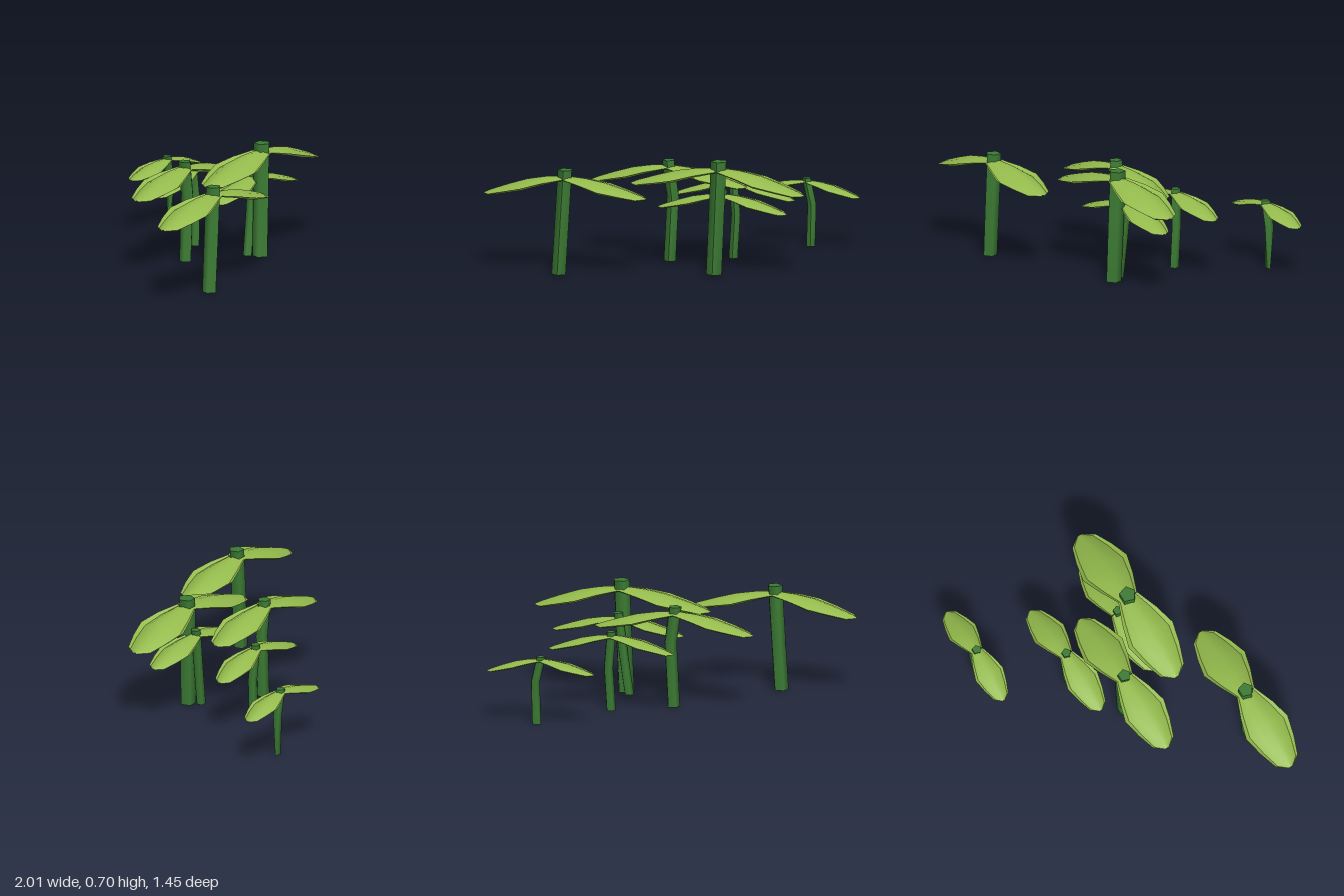
import * as THREE from 'three';

const stemMat = new THREE.MeshStandardMaterial({ color: 0x3b7a33 });
stemMat.name = 'stem green';
const leafMat = new THREE.MeshStandardMaterial({ color: 0x93ba4c, side: THREE.DoubleSide });
leafMat.name = 'leaf green';

// Rows along the leaf: [distance along, half width, share of droop]
const ROWS = [[0, 0.42, 0], [0.24, 0.76, 0.08], [0.47, 1, 0.25], [0.7, 0.8, 0.54], [0.91, 0.53, 0.84], [1, 0.1, 1]];
// Crosswise strips [side, height]: domed blade with a small upturned lip on both edges
const STRIPS = [
  [[-1, -0.22], [-0.82, -0.33]],
  [[-0.82, -0.33], [-0.45, -0.1], [0, 0], [0.45, -0.1], [0.82, -0.33]],
  [[0.82, -0.33], [1, -0.22]],
];

function leafGeometry(length, halfWidth, droop) {
  const pos = [], index = [];
  for (const strip of STRIPS) {
    const start = pos.length / 3, n = strip.length;
    ROWS.forEach(([t, w, d], i) => {
      strip.forEach(([side, h], j) => {
        pos.push(t * length, h * w * halfWidth - d * droop, side * w * halfWidth);
        if (i < ROWS.length - 1 && j < n - 1) {
          const a = start + i * n + j, b = a + n;
          index.push(a, a + 1, b, a + 1, b + 1, b);
        }
      });
    });
  }
  const g = new THREE.BufferGeometry();
  g.setAttribute('position', new THREE.Float32BufferAttribute(pos, 3));
  g.setIndex(index);
  g.computeVertexNormals();
  return g;
}

// Five-sided stem bent through base, knee and top
function stemGeometry(base, knee, top, radius, pinch) {
  const g = new THREE.CylinderGeometry(radius, radius, 1, 5, 2);
  const p = g.attributes.position;
  const path = [base, knee, top];
  for (let i = 0; i < p.count; i++) {
    const k = Math.round((p.getY(i) + 0.5) * 2);
    const c = path[k];
    const squeeze = k === 0 ? pinch : 1;
    p.setXYZ(i, c[0] + p.getX(i), c[1], c[2] + p.getZ(i) * squeeze);
  }
  g.computeVertexNormals();
  return g;
}

// Each sprout: stem path and radius, leaf height and half width,
// leaves as [length, droop, yaw] for the +x and -x sides
const SPROUTS = [
  { base: [-0.527, 0, 0.57], knee: [-0.507, 0.32, 0.57], top: [-0.487, 0.65, 0.57], r: 0.047,
    leafY: 0.612, hw: 0.148, plus: [0.51, 0.11, 0.01], minus: [0.515, 0.132, 0] },
  { base: [0, 0, 0], knee: [0.02, 0.4, 0], top: [-0.01, 0.625, 0], r: 0.04,
    leafY: 0.595, hw: 0.138, plus: [0.495, 0.11, 0.02], minus: [0.49, 0.12, 0] },
  { base: [0.335, 0, 0.22], knee: [0.37, 0.25, 0.215], top: [0.402, 0.51, 0.21], r: 0.03,
    leafY: 0.485, hw: 0.113, plus: [0.41, 0.1, -0.03], minus: [0.41, 0.1, 0.03] },
  { base: [0.373, 0, 0.29], knee: [0.387, 0.35, 0.285], top: [0.4, 0.7, 0.28], r: 0.052,
    leafY: 0.66, hw: 0.158, plus: [0.535, 0.14, 0.02], minus: [0.56, 0.125, 0] },
  { base: [0.345, 0, -0.183], knee: [0.36, 0.27, -0.188], top: [0.34, 0.495, -0.197], r: 0.03,
    leafY: 0.475, hw: 0.106, plus: [0.385, 0.1, 0.05], minus: [0.39, 0.1, 0.01] },
  { base: [0.693, 0, -0.635], knee: [0.703, 0.265, -0.635], top: [0.668, 0.425, -0.633], r: 0.029,
    leafY: 0.412, hw: 0.094, plus: [0.335, 0.09, 0.02], minus: [0.34, 0.075, -0.06] },
];

export function createModel() {
  const group = new THREE.Group();
  group.name = 'sprouts';
  SPROUTS.forEach((s, i) => {
    const sprout = new THREE.Group();
    sprout.name = `sprout${i + 1}`;
    const stem = new THREE.Mesh(stemGeometry(s.base, s.knee, s.top, s.r, i === 5 ? 0.2 : 0.95), stemMat);
    stem.name = 'stem';
    sprout.add(stem);
    [['leftLeaf', s.plus, 0], ['rightLeaf', s.minus, Math.PI]].forEach(([name, [len, droop, yaw], turn]) => {
      const leaf = new THREE.Mesh(leafGeometry(len, s.hw, droop), leafMat);
      leaf.name = name;
      leaf.position.set(s.top[0], s.leafY, s.top[2]);
      leaf.rotation.y = turn + yaw;
      sprout.add(leaf);
    });
    group.add(sprout);
  });
  return group;
}
